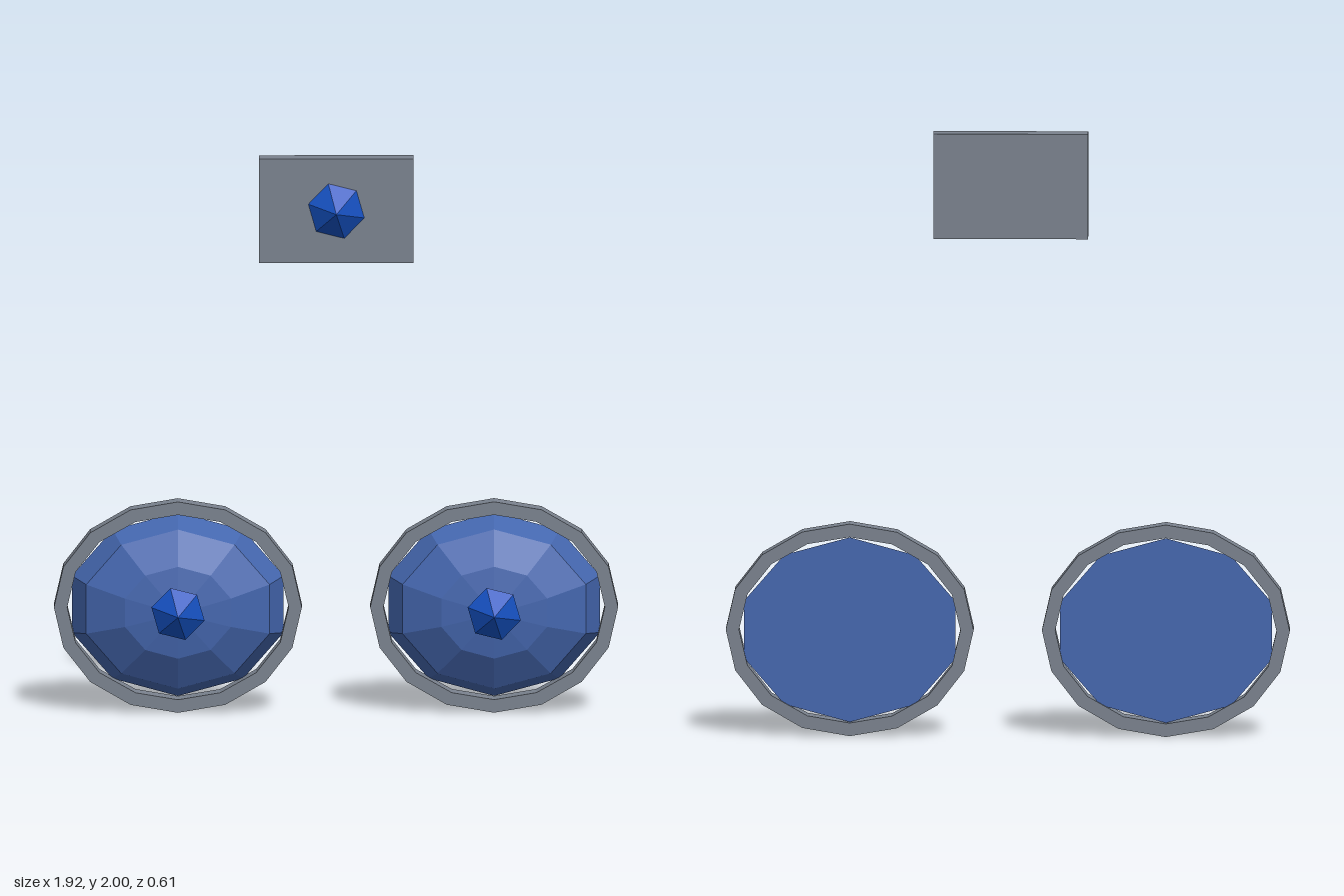
import * as THREE from 'three';

const paint = (color) => new THREE.MeshStandardMaterial({ color, flatShading: true });

// Points of a regular polygon stretched into an ellipse
function ellipse(rx, ry, sides) {
  return Array.from({ length: sides }, (_, i) => {
    const a = (i / sides) * Math.PI * 2;
    return new THREE.Vector2(rx * Math.cos(a), ry * Math.sin(a));
  });
}

export function createModel() {
  const model = new THREE.Group();
  const grey = paint(0x7a828e);
  const blue = paint(0x4466ae);
  const deepBlue = paint(0x1450c0);

  function add(parent, name, geometry, material, x, y, z) {
    const mesh = new THREE.Mesh(geometry, material);
    mesh.name = name;
    mesh.position.set(x, y, z);
    parent.add(mesh);
    return mesh;
  }

  // Six-sided cone pointing forward; z is its base
  function addStud(parent, name, radius, height, x, y, z) {
    const cone = new THREE.ConeGeometry(radius, height, 6);
    cone.rotateX(Math.PI / 2).rotateZ(THREE.MathUtils.degToRad(16));
    add(parent, name, cone, deepBlue, x, y, z + height / 2);
  }

  // Upper plate with its stud
  const panel = new THREE.Group();
  panel.name = 'upperPanel';
  add(panel, 'plate', new THREE.BoxGeometry(0.525, 0.36, 0.07), grey, 0, 1.82, 0.202);
  addStud(panel, 'plateStud', 0.098, 0.068, 0, 1.82, 0.237);
  model.add(panel);

  // Rim: 16-sided elliptical band
  const rimShape = new THREE.Shape(ellipse(0.421, 0.364, 16));
  rimShape.holes.push(new THREE.Path(ellipse(0.376, 0.319, 16)));
  const rim = new THREE.ExtrudeGeometry(rimShape, { depth: 0.07, bevelEnabled: false });

  // Dome: flattened ten-sided half sphere, closed at the back
  const dome = new THREE.SphereGeometry(1, 10, 3, 0, Math.PI * 2, 0, Math.PI / 2);
  dome.rotateX(Math.PI / 2).rotateZ(Math.PI / 10).scale(0.378, 0.317, 0.19);
  const back = new THREE.CircleGeometry(1, 10);
  back.rotateY(Math.PI).rotateZ(Math.PI / 10).scale(0.378, 0.317, 1);

  // Matching pair of domed discs
  for (const [side, name] of [[1, 'leftDisc'], [-1, 'rightDisc']]) {
    const disc = new THREE.Group();
    disc.name = name;
    disc.position.set(side * 0.537, 0.366, 0);
    add(disc, 'rim', rim, grey, 0, 0, -0.306);
    add(disc, 'dome', dome, blue, 0, 0, -0.297);
    add(disc, 'domeBack', back, blue, 0, 0, -0.297);
    addStud(disc, 'domeStud', 0.093, 0.07, 0, 0, -0.109);
    model.add(disc);
  }

  return model;
}
